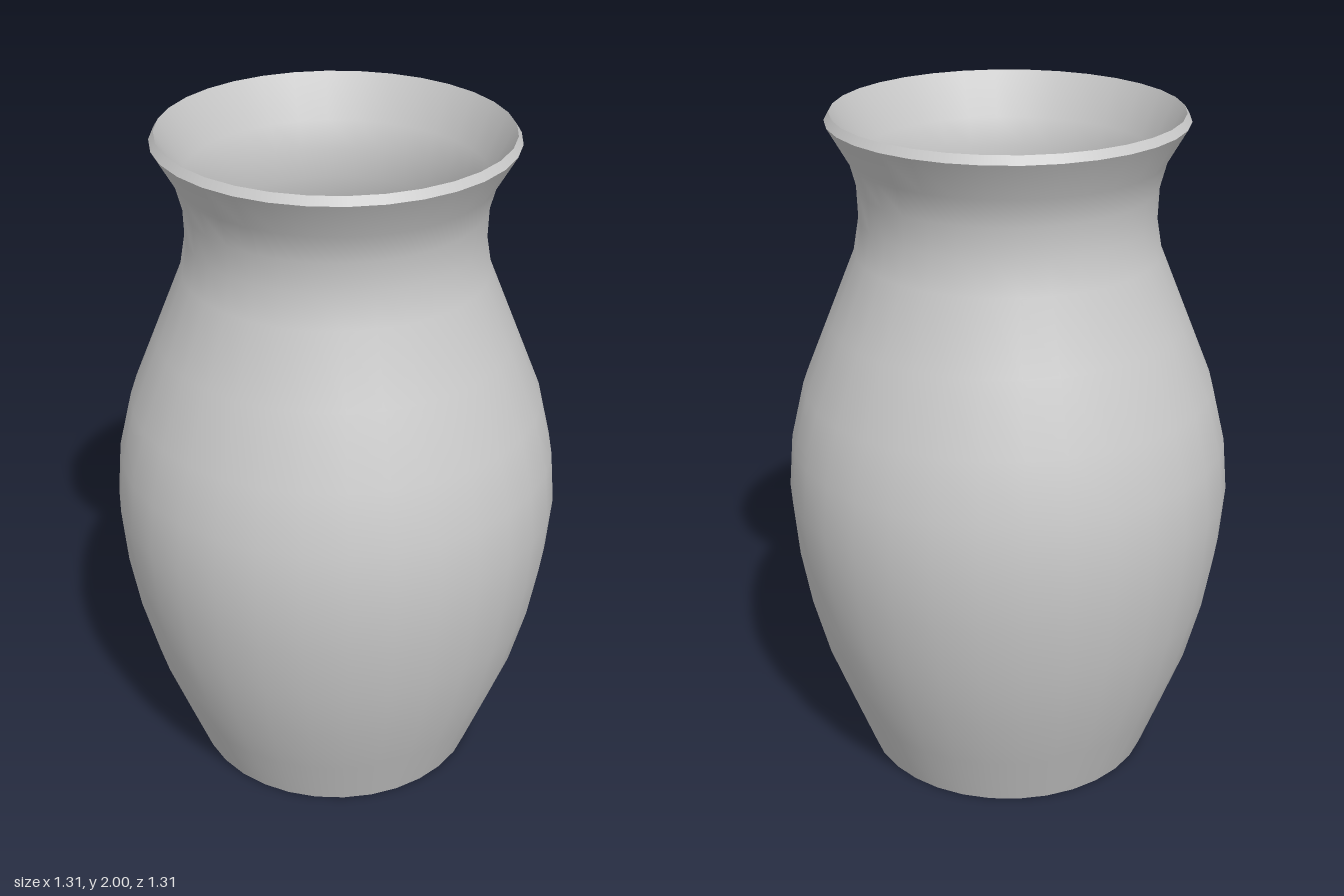
import * as THREE from 'three';

const SIDES = 32;
const WALL = 0.018;

// Outer profile from foot to lip: [radius, height]
const OUTER = [
  [0.437, 0], [0.501, 0.17], [0.566, 0.345], [0.614, 0.53], [0.643, 0.7],
  [0.657, 0.87], [0.643, 1.03], [0.602, 1.2], [0.521, 1.4], [0.44, 1.6],
  [0.423, 1.7], [0.426, 1.79], [0.447, 1.87], [0.508, 1.977],
];
const LIP = [0.494, 2];

export function createModel() {
  const group = new THREE.Group();
  const material = new THREE.MeshStandardMaterial({ color: 0xcccccc });

  const addLathe = (name, points) => {
    const profile = points.map(([r, y]) => new THREE.Vector2(r, y));
    const mesh = new THREE.Mesh(new THREE.LatheGeometry(profile, SIDES), material);
    mesh.name = name;
    group.add(mesh);
  };

  // Smooth outer wall, and the bevelled rim as its own hard-edged band
  addLathe('outerWall', OUTER);
  addLathe('rim', [OUTER[OUTER.length - 1], LIP]);

  // Inner wall runs back down, one wall thickness inside the outer profile
  const inner = OUTER.slice(1, -1).map(([r, y]) => [r - WALL, y]).reverse();
  const floorRadius = OUTER[0][0] - WALL;
  addLathe('innerWall', [LIP, ...inner, [floorRadius, WALL]]);

  // Flat floor inside and flat base underneath
  addLathe('innerFloor', [[floorRadius, WALL], [0, WALL]]);
  addLathe('base', [[0, 0], OUTER[0]]);

  return group;
}
